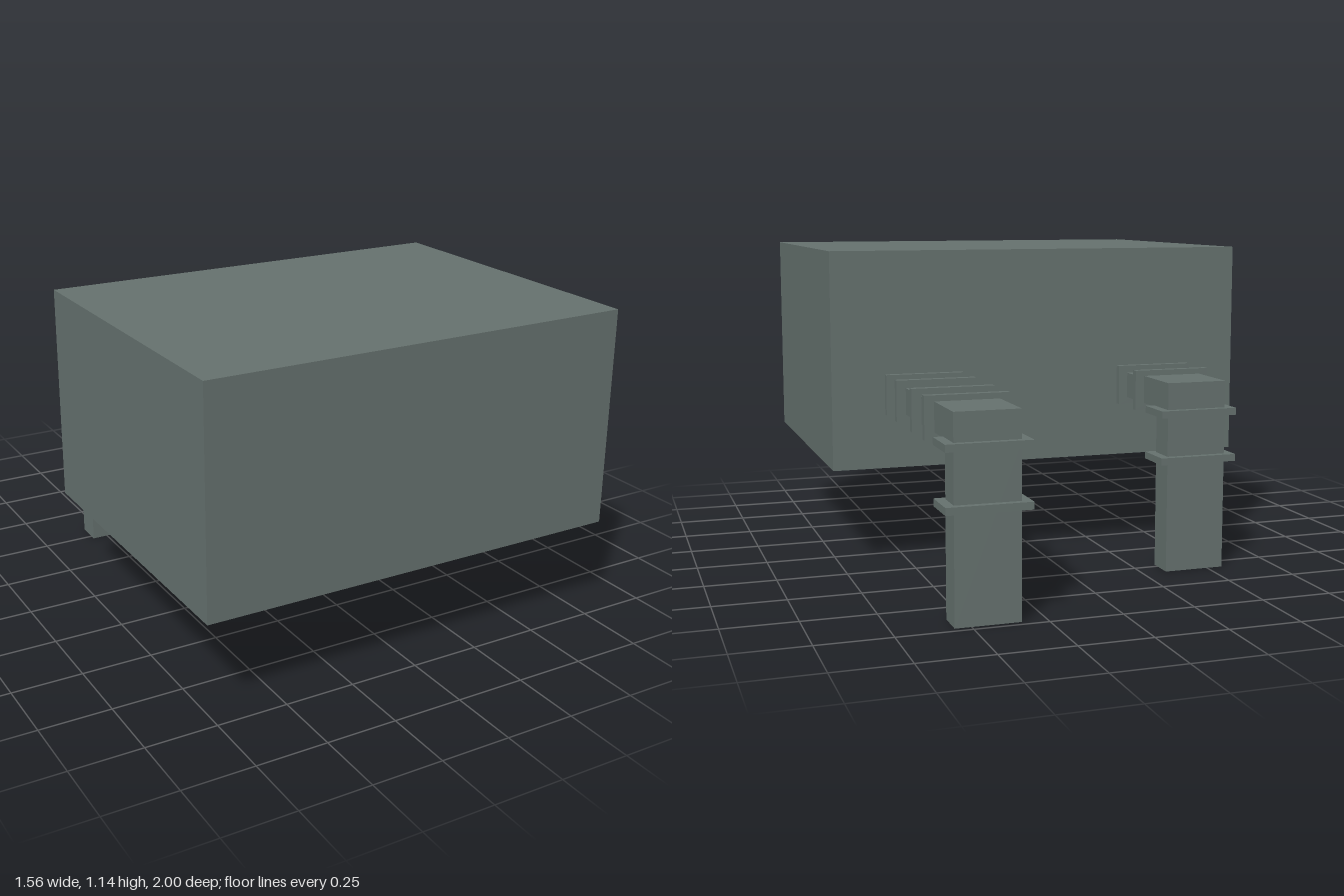
import * as THREE from 'three';

const material = new THREE.MeshStandardMaterial({ color: 0x66726f });

// Box given by its lower and upper corner
function block(name, [x0, y0, z0], [x1, y1, z1]) {
  const mesh = new THREE.Mesh(new THREE.BoxGeometry(x1 - x0, y1 - y0, z1 - z0), material);
  mesh.name = name;
  mesh.position.set((x0 + x1) / 2, (y0 + y1) / 2, (z0 + z1) / 2);
  return mesh;
}

// Rectangular duct: runs back from the housing, then turns down to the ground
function duct(name, x, end, wallFlanges, dropFlanges) {
  const group = new THREE.Group();
  group.name = name;
  const w = 0.11, fw = 0.143, t = 0.0125;
  const front = end + 0.1;
  const elbowStart = wallFlanges[wallFlanges.length - 1];

  group.add(
    block('horizontalDuct', [x - w, 0.58, elbowStart], [x + w, 0.673, -0.175]),
    block('elbow', [x - w, 0.58, end], [x + w, 0.68, elbowStart]),
    block('verticalDuct', [x - w, 0, end], [x + w, 0.58, front])
  );
  // Collars round the horizontal run
  for (const z of wallFlanges) {
    group.add(block('horizontalFlange', [x - fw, 0.555, z - t], [x + fw, 0.7, z + t]));
  }
  // Collars round the drop
  for (const y of dropFlanges) {
    group.add(block('verticalFlange', [x - fw, y - t, end - 0.024], [x + fw, y + t, front + 0.022]));
  }
  return group;
}

export function createModel() {
  const model = new THREE.Group();
  model.name = 'ductedHousing';
  model.add(
    block('housing', [-0.78, 0.36, -0.175], [0.78, 1.14, 1]),
    duct('longDuct', 0.445, -0.976, [-0.187, -0.345, -0.566, -0.735], [0.572, 0.377]),
    duct('shortDuct', -0.448, -0.576, [-0.187, -0.347], [0.572, 0.405])
  );
  return model;
}
